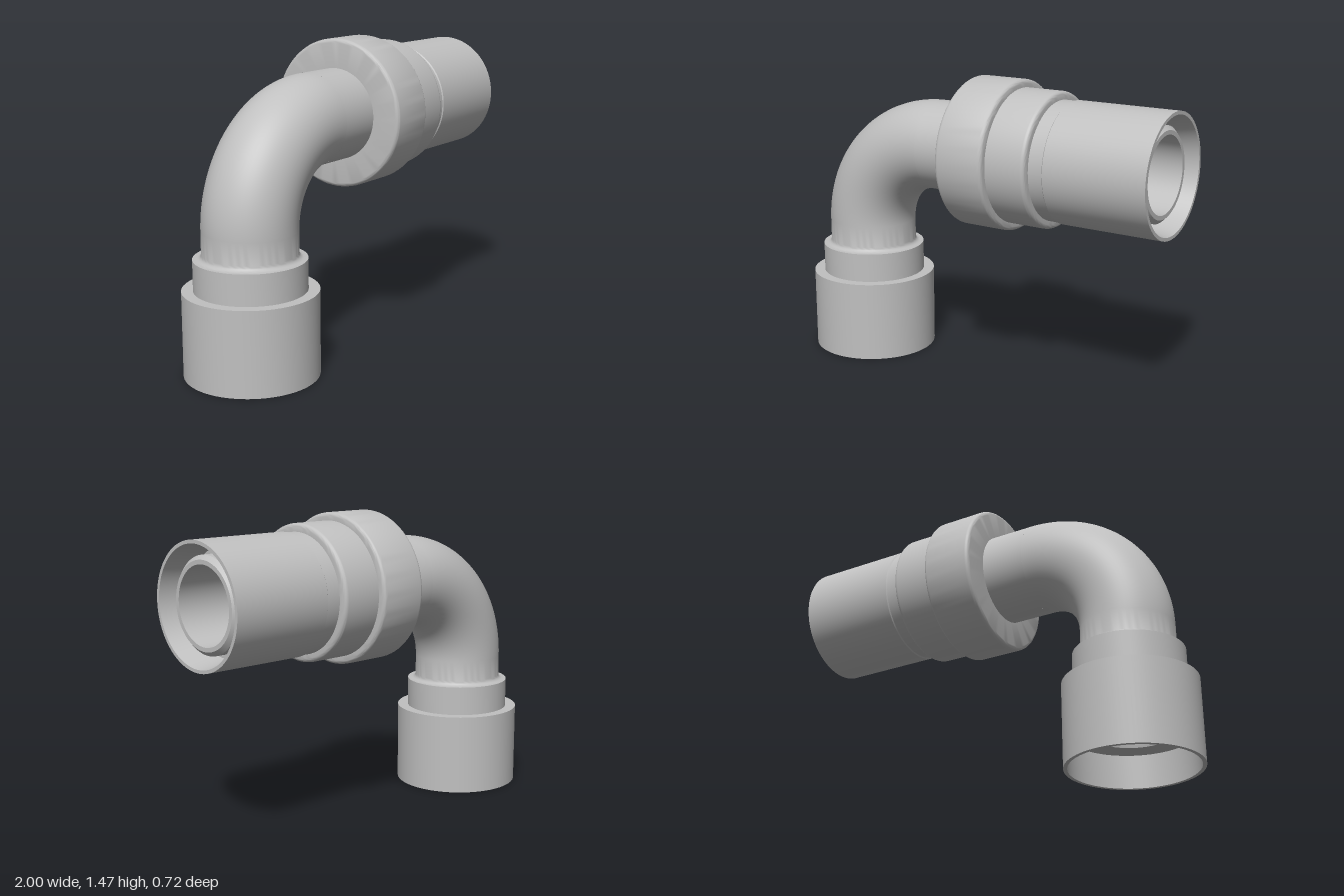
import * as THREE from 'three';
import { toCreasedNormals } from 'three/addons/utils/BufferGeometryUtils.js';

const PIPE = 0.22, BORE = 0.18, BEND = 0.437;
const BEND_X = -0.25, BEND_Y = 0.673;

// Points of a circular arc in (radius, height), angles in degrees
function arc(cx, cy, r, from, to, steps = 5) {
  return Array.from({ length: steps + 1 }, (_, i) => {
    const a = THREE.MathUtils.degToRad(from + (to - from) * i / steps);
    return [cx + r * Math.cos(a), cy + r * Math.sin(a)];
  });
}

// Turned part: profile runs up the outside and back down the bore
function turned(profile) {
  const pts = profile.map(([r, h]) => new THREE.Vector2(r, h));
  return toCreasedNormals(new THREE.LatheGeometry(pts, 80), 0.5);
}

export function createModel() {
  const group = new THREE.Group();
  group.name = 'pipeElbow';
  const metal = new THREE.MeshStandardMaterial({ color: 0xc0c0c0, side: THREE.DoubleSide });
  metal.name = 'grey metal';

  const add = (name, geometry, x, y) => {
    const mesh = new THREE.Mesh(geometry, metal);
    mesh.name = name;
    mesh.position.set(x, y, 0);
    group.add(mesh);
    return mesh;
  };

  // Lower socket with stepped collar and the short upright pipe
  add('lowerSocket', turned([
    [0.295, 0], [0.313, 0], [0.313, 0.4], [0.26, 0.4], [0.26, 0.545],
    ...arc(PIPE + 0.025, 0.57, 0.025, 270, 180),
    [PIPE, BEND_Y],
  ]), BEND_X - BEND, 0);
  add('lowerSocketBore', turned([
    [BORE, BEND_Y], [BORE, 0.2], [0.19, 0.16], [0.295, 0.16], [0.295, 0],
  ]), BEND_X - BEND, 0);

  // Quarter bend, outside and bore
  for (const [name, r] of [['bend', PIPE], ['bendBore', BORE]]) {
    const g = new THREE.TorusGeometry(BEND, r, 64, 48, Math.PI / 2);
    g.rotateZ(Math.PI / 2);
    add(name, g, BEND_X, BEND_Y);
  }

  // Horizontal pipe, union nut, sleeve and open tail with its inner tube
  const c = 0.02;
  const coupling = turned([
    [PIPE, BEND_X], [PIPE, -0.035],
    ...arc(0.36 - c, -0.035 + c, c, -90, 0),
    ...arc(0.36 - c, 0.22 - c, c, 0, 90),
    [0.322, 0.22],
    ...arc(0.322 - c, 0.425 - c, c, 0, 90),
    [0.283, 0.425], [0.283, 0.495], [0.288, 0.5], [0.288, 1],
    [0.272, 1], [0.245, 0.85], [PIPE, 0.85],
    [PIPE, 0.94], [0.2, 0.96], [BORE, 0.96],
    [BORE, BEND_X],
  ]);
  coupling.rotateZ(-Math.PI / 2);
  add('coupling', coupling, 0, BEND_Y + BEND);

  return group;
}
